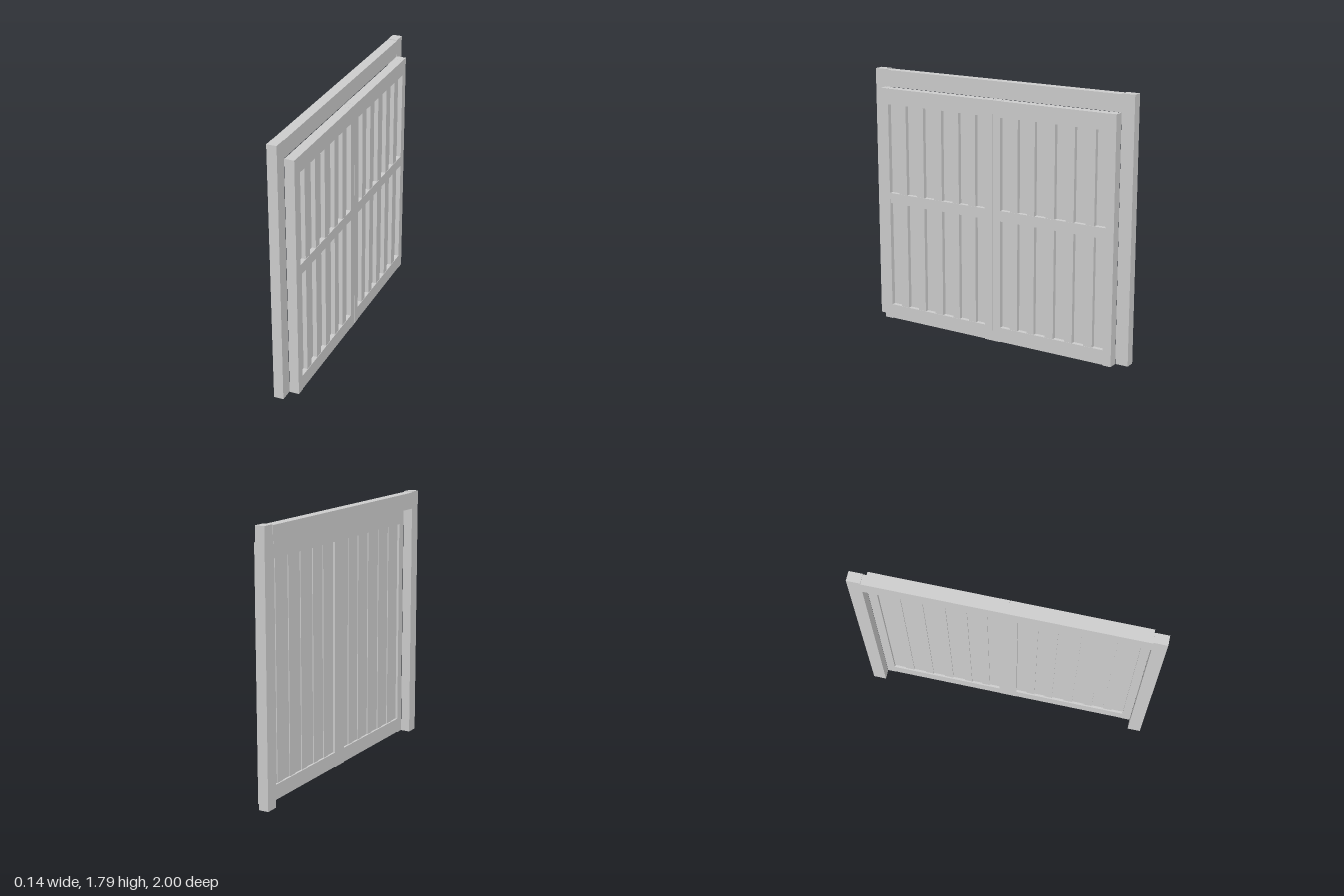
import * as THREE from 'three';

const material = new THREE.MeshStandardMaterial({ color: 0xcccccc, flatShading: true });

// Box given by its extents on each axis
function box(name, [x0, x1], [y0, y1], [z0, z1]) {
  const geometry = new THREE.BoxGeometry(x1 - x0, y1 - y0, Math.abs(z1 - z0));
  const mesh = new THREE.Mesh(geometry, material);
  mesh.position.set((x0 + x1) / 2, (y0 + y1) / 2, (z0 + z1) / 2);
  mesh.name = name;
  return mesh;
}

// One door leaf, on the side of z given by s (1 or -1)
function makeLeaf(s) {
  const leaf = new THREE.Group();
  leaf.name = s > 0 ? 'frontLeaf' : 'backLeaf';
  const add = (name, x, y, z) => leaf.add(box(name, x, y, z.map((v) => v * s)));
  const depth = [0.002, 0.068];
  const opening = [0.062, 0.85];

  // Leaf frame
  add('outerStile', depth, [0, 1.67], [0.85, 0.91]);
  add('meetingStile', depth, [0, 1.67], [0.001, 0.062]);
  add('topRail', depth, [1.56, 1.669], opening);
  add('bottomRail', depth, [0.004, 0.105], opening);
  add('middleRail', [0.03, 0.067], [0.857, 0.93], opening);

  // Recessed panel with raised vertical slats
  add('panel', [0.018, 0.036], [0.105, 1.56], opening);
  const slats = [[0.137, 0.195], [0.27, 0.324], [0.41, 0.474], [0.559, 0.618], [0.704, 0.768]];
  for (const z of slats) add('slat', [0.012, 0.065], [0.105, 1.56], z);
  return leaf;
}

export function createModel() {
  const model = new THREE.Group();
  model.name = 'doubleGate';

  // Surrounding frame
  const frame = new THREE.Group();
  frame.name = 'surround';
  frame.add(box('lintel', [-0.07, -0.001], [1.67, 1.785], [-0.91, 0.91]));
  for (const s of [1, -1]) {
    frame.add(box('jamb', [-0.067, 0], [0, 1.79], [0.91 * s, s]));
    model.add(makeLeaf(s));
  }
  model.add(frame);
  return model;
}
